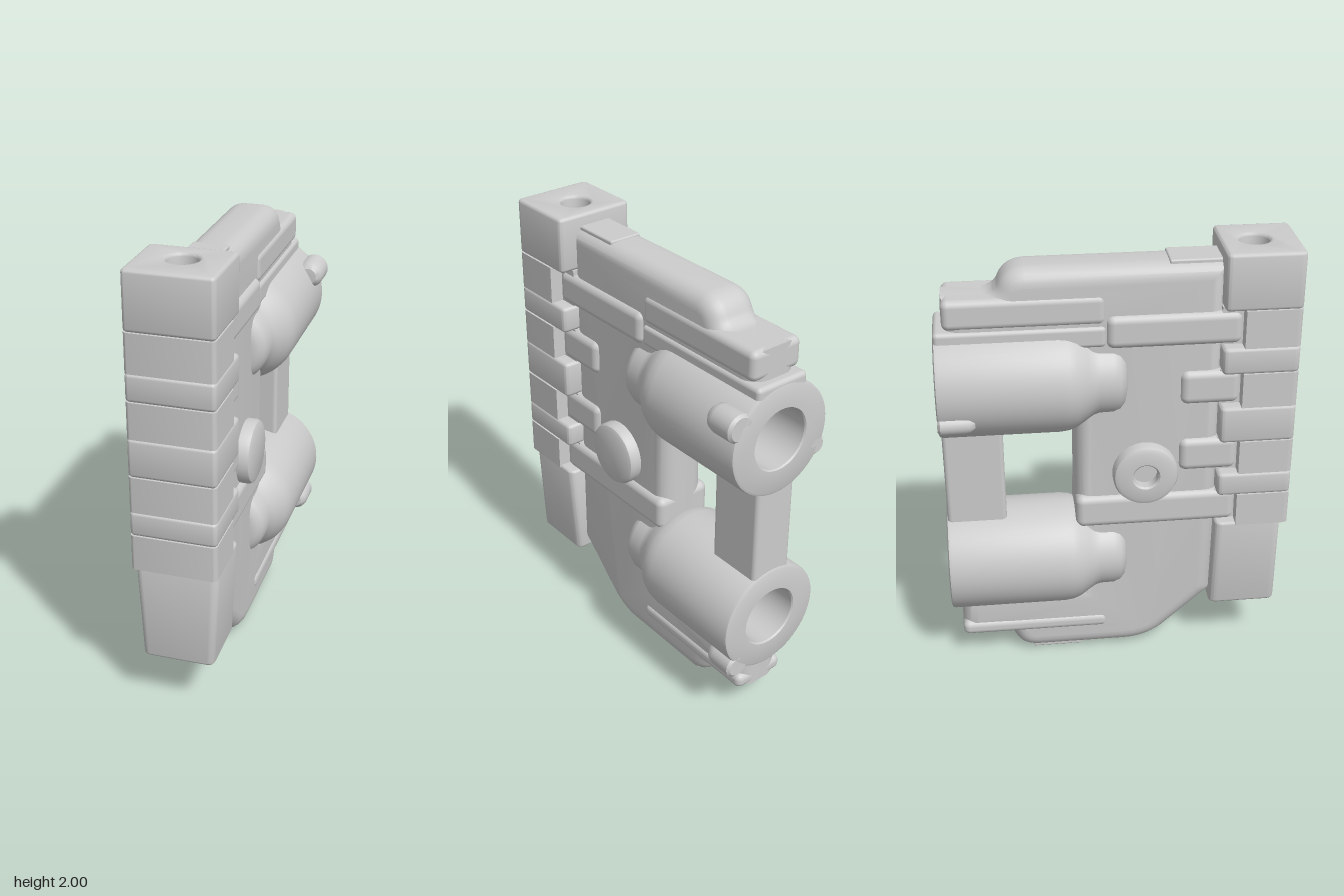
import * as THREE from 'three';
import { toCreasedNormals } from 'three/addons/utils/BufferGeometryUtils.js';
import { RoundedBoxGeometry } from 'three/addons/geometries/RoundedBoxGeometry.js';

const material = new THREE.MeshStandardMaterial({ color: 0xcccccc });

function add(parent, name, geometry) {
  const mesh = new THREE.Mesh(geometry, material);
  mesh.name = name;
  parent.add(mesh);
  return mesh;
}

// Rounded block centred on x, given its y and z ranges
function block(parent, name, halfX, y0, y1, z0, z1, radius = 0.02) {
  const mesh = add(parent, name, new RoundedBoxGeometry(halfX * 2, y1 - y0, z1 - z0, 4, radius));
  mesh.position.set(0, (y0 + y1) / 2, (z0 + z1) / 2);
  return mesh;
}

// Turned part with its axis along z; profile points are [radius, z]
function turned(parent, name, x, y, profile, segments = 48) {
  const lathe = new THREE.LatheGeometry(profile.map(p => new THREE.Vector2(...p)), segments);
  const mesh = add(parent, name, toCreasedNormals(lathe.rotateX(Math.PI / 2), 0.6));
  mesh.position.set(x, y, 0);
  return mesh;
}

// Pillar cross-section seen from above, with the vertical bore
function pillarSection(half, front, back, radius, bore, notch = 0) {
  const s = new THREE.Shape();
  const f = -front, b = -back;
  s.moveTo(-half + radius, f);
  s.lineTo(half - radius, f);
  s.quadraticCurveTo(half, f, half, f + radius);
  if (notch) {
    s.lineTo(half, -0.53);
    s.lineTo(half - notch, -0.53);
    s.lineTo(half - notch, b);
    s.lineTo(-half + notch, b);
    s.lineTo(-half + notch, -0.53);
    s.lineTo(-half, -0.53);
  } else {
    s.lineTo(half, b - radius);
    s.quadraticCurveTo(half, b, half - radius, b);
    s.lineTo(-half + radius, b);
    s.quadraticCurveTo(-half, b, -half, b - radius);
  }
  s.lineTo(-half, f + radius);
  s.quadraticCurveTo(-half, f, -half + radius, f);
  s.holes.push(new THREE.Path().absarc(0, -0.585, bore, 0, Math.PI * 2, true));
  return s;
}

// Extrude a plan section upward between two heights
function upright(shape, y0, y1, bevel) {
  const g = new THREE.ExtrudeGeometry(shape, {
    depth: y1 - y0 - 2 * bevel, curveSegments: 12, bevelEnabled: bevel > 0,
    bevelSize: bevel, bevelThickness: bevel, bevelOffset: -bevel, bevelSegments: 3,
  });
  return g.translate(0, 0, bevel).rotateX(-Math.PI / 2).translate(0, y0, 0);
}

function buildPillar(parent) {
  const pillar = new THREE.Group();
  pillar.name = 'pillar';
  parent.add(pillar);
  const full = pillarSection(0.186, 0.772, 0.44, 0.025, 0.065);
  const cut = pillarSection(0.186, 0.772, 0.44, 0.025, 0.065, 0.06);
  const levels = [0.7, 0.86, 0.97, 1.13, 1.3, 1.46, 1.58, 1.75, 2];
  for (let i = 0; i < levels.length - 1; i++) {
    const notched = i % 2 === 0;
    add(pillar, notched ? 'pillarNotch' : 'pillarBlock', toCreasedNormals(
      upright(notched ? cut : full, levels[i], levels[i + 1], notched ? 0 : 0.015), 0.6));
  }
  // Foot narrows toward the bottom
  const foot = upright(pillarSection(0.182, 0.742, 0.44, 0.04, 0.05), 0.25, 0.71, 0.012);
  const p = foot.attributes.position;
  for (let i = 0; i < p.count; i++) {
    const t = (0.71 - p.getY(i)) / 0.46;
    p.setX(i, p.getX(i) * (1 - 0.13 * t));
    if (p.getZ(i) < 0.5) p.setZ(i, p.getZ(i) - 0.01 * t);
  }
  add(pillar, 'pillarFoot', toCreasedNormals(foot, 0.6));
}

function buildBody(parent) {
  // C-shaped side outline, drawn as (z, y)
  const s = new THREE.Shape();
  s.moveTo(0.47, 1.94);
  s.lineTo(-0.38, 1.94);
  s.quadraticCurveTo(-0.46, 1.935, -0.49, 1.87);
  s.quadraticCurveTo(-0.51, 1.822, -0.56, 1.822);
  s.lineTo(-0.73, 1.822);
  s.lineTo(-0.73, 1.575);
  s.lineTo(-0.19, 1.575);
  s.lineTo(-0.19, 0.365);
  s.lineTo(-0.73, 0.365);
  s.lineTo(-0.73, 0.128);
  s.lineTo(-0.56, 0.128);
  s.quadraticCurveTo(-0.51, 0.128, -0.49, 0.08);
  s.quadraticCurveTo(-0.46, 0.012, -0.38, 0.01);
  s.lineTo(0.03, 0.01);
  s.quadraticCurveTo(0.14, 0.01, 0.22, 0.075);
  s.lineTo(0.42, 0.26);
  s.lineTo(0.47, 0.3);
  const half = 0.118, bevel = 0.075;
  const g = new THREE.ExtrudeGeometry(s, {
    depth: 2 * (half - bevel), curveSegments: 8,
    bevelSize: bevel, bevelThickness: bevel, bevelOffset: -bevel, bevelSegments: 6,
  });
  g.translate(0, 0, bevel - half).rotateY(-Math.PI / 2);
  add(parent, 'body', toCreasedNormals(g, 0.6));

  // Strut closing the window at the back
  block(parent, 'backStrut', 0.1, 0.72, 1.22, -0.765, -0.5);
  // Thickened sides of the upper and lower arms
  block(parent, 'upperArmPad', 0.127, 1.69, 1.822, -0.73, -0.05, 0.03);
  block(parent, 'upperFlange', 0.13, 1.59, 1.685, -0.77, -0.05);
  block(parent, 'lowerArmPad', 0.127, 0.128, 0.2, -0.73, -0.05, 0.03);
  block(parent, 'topPad', 0.078, 1.88, 1.948, 0.22, 0.46, 0.008);
  block(parent, 'bottomPad', 0.078, 0, 0.06, -0.4, -0.17, 0.008);
  // Ribs running into the pillar notches
  const ribs = [[0.7, 0.86, -0.19], [0.97, 1.13, 0.27], [1.3, 1.46, 0.27], [1.58, 1.73, -0.05]];
  for (const [y0, y1, z0] of ribs) block(parent, 'rib', 0.14, y0, y1, z0, 0.53, 0.035);
}

function buildBarrels(parent) {
  const profile = [
    [0, -0.4], [0.135, -0.4], [0.135, -0.765], [0.14, -0.772], [0.24, -0.772], [0.25, -0.767],
    [0.253, -0.755], [0.253, -0.25], [0.248, -0.21], [0.235, -0.175], [0.205, -0.13],
    [0.19, -0.105], [0.183, -0.08], [0.182, -0.02], [0.172, 0.01], [0.15, 0.032], [0.125, 0.04], [0, 0.04],
  ];
  for (const y of [1.42, 0.52]) turned(parent, 'barrel', 0, y, profile, 64);
  // Lugs at the barrel mouths
  for (const [x, y, r] of [[0.212, 1.545, 0.064], [0.175, 0.33, 0.058], [-0.21, 1.31, 0.045]]) {
    turned(parent, 'lug', x, y, [
      [0, -0.772], [r - 0.012, -0.772], [r, -0.76], [r, -0.66],
      [r * 0.9, -0.635], [r * 0.6, -0.615], [0, -0.61],
    ], 24);
  }
}

function buildBosses(parent) {
  const plain = [[0.145, 0.08], [0.145, 0.155], [0.138, 0.17], [0.12, 0.178], [0, 0.178]];
  const ring = [...plain.slice(0, 4), [0.062, 0.178], [0.055, 0.17], [0.055, 0.125], [0, 0.125]];
  turned(parent, 'leftBoss', 0, 0.975, plain).rotation.y = Math.PI / 2;
  turned(parent, 'rightBoss', 0, 0.975, ring).rotation.y = -Math.PI / 2;
  for (const b of parent.children.slice(-2)) b.position.z = 0.12;
}

export function createModel() {
  const model = new THREE.Group();
  model.name = 'bracket';
  const parts = new THREE.Group();
  parts.name = 'parts';
  parts.position.x = -0.013;
  model.add(parts);
  buildPillar(parts);
  buildBody(parts);
  buildBarrels(parts);
  buildBosses(parts);
  return model;
}
